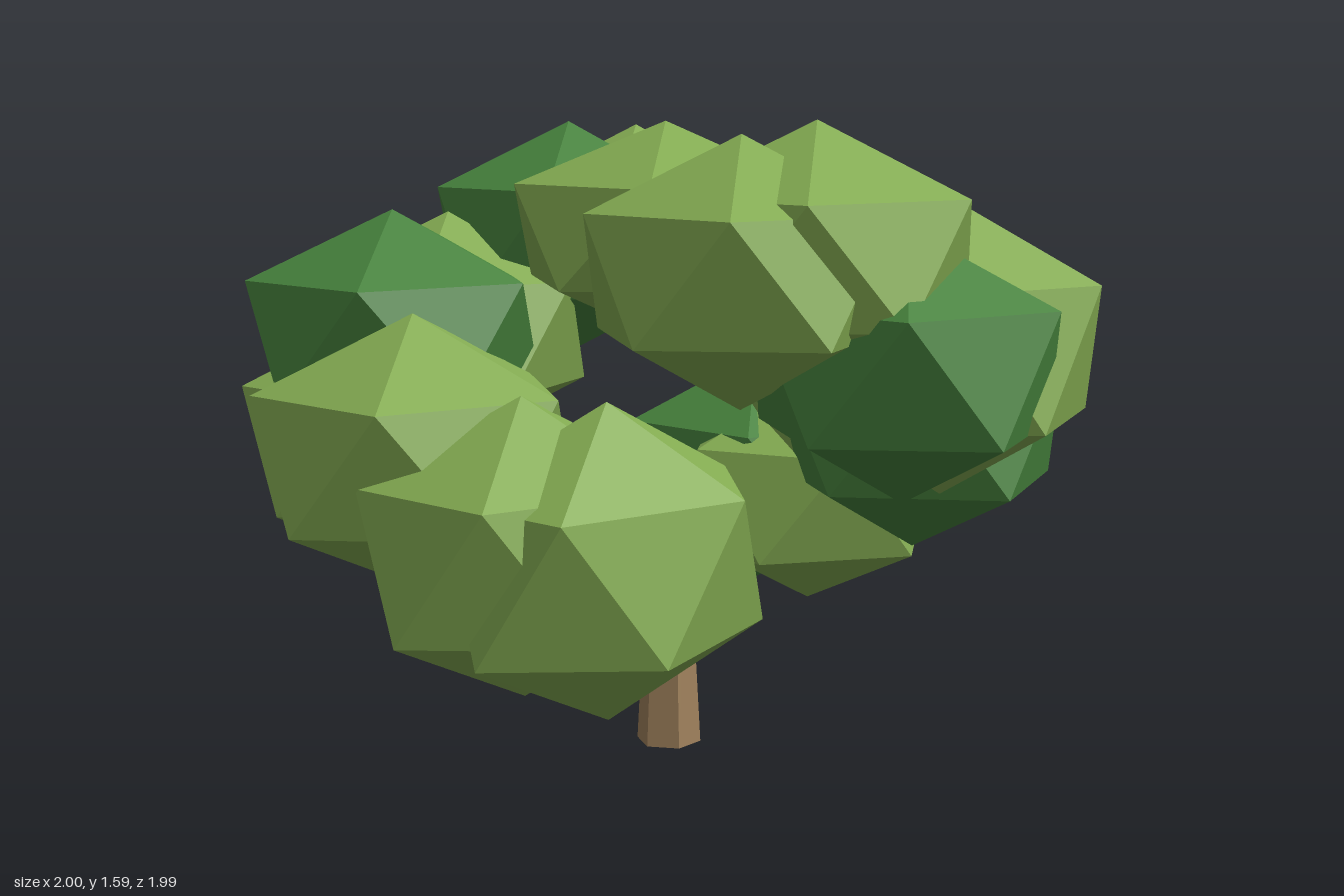
import * as THREE from 'three';

const mat = (name, color) => {
  const m = new THREE.MeshStandardMaterial({ color, flatShading: true });
  m.name = name;
  return m;
};

export function createModel() {
  const tree = new THREE.Group();
  tree.name = 'tree';
  const lightLeaf = mat('light leaf green', 0x84ac52);
  const darkLeaf = mat('dark leaf green', 0x47833d);
  const bark = mat('bark brown', 0x9f815c);

  // Tapered six-sided trunk, a flat side to the front
  const trunk = new THREE.Mesh(
    new THREE.CylinderGeometry(0.047, 0.083, 0.66, 6).rotateY(Math.PI / 6), bark);
  trunk.name = 'trunk';
  trunk.position.set(0, 0.33, -0.02);
  tree.add(trunk);

  // Leaf clump: icosahedron standing on a corner, flattened by its scale
  const clump = new THREE.IcosahedronGeometry(1, 0);
  clump.rotateZ(-Math.atan(2 / (1 + Math.sqrt(5))));

  const canopy = new THREE.Group();
  canopy.name = 'canopy';
  tree.add(canopy);
  const addClump = (name, material, x, y, z, rx, ry, rz = rx, turn = 0) => {
    const m = new THREE.Mesh(clump, material);
    m.name = name;
    m.position.set(x, y, z);
    m.scale.set(rx, ry, rz);
    m.rotation.y = turn;
    canopy.add(m);
  };

  // Crown
  addClump('crownMiddle', lightLeaf, -0.01, 1.31, -0.02, 0.42, 0.27);
  addClump('crownFront', lightLeaf, -0.08, 1.28, 0.5, 0.42, 0.31, 0.4);
  addClump('crownFrontRight', lightLeaf, -0.25, 1.25, 0.42, 0.4, 0.31);
  addClump('crownBackLeft', lightLeaf, 0.35, 1.25, -0.45, 0.4, 0.31, 0.37);
  addClump('crownBack', darkLeaf, 0.17, 1.26, -0.53, 0.4, 0.31, 0.39);

  // Middle ring
  addClump('frontLeft', lightLeaf, 0.28, 1.05, 0.61, 0.41, 0.36, 0.42);
  addClump('front', darkLeaf, 0.05, 1.03, 0.66, 0.4, 0.32);
  addClump('back', lightLeaf, -0.16, 1.03, -0.65, 0.4, 0.31);
  addClump('backRight', darkLeaf, -0.41, 1.05, -0.58, 0.41, 0.31);

  // Lower clumps on the left
  addClump('leftFront', darkLeaf, 0.56, 0.81, 0.34, 0.41, 0.34, 0.43);
  addClump('left', lightLeaf, 0.65, 0.81, 0.15, 0.395, 0.34, 0.4, 0.14);
  addClump('leftLow', lightLeaf, 0.565, 0.58, -0.01, 0.41, 0.31, 0.39, 0.31);
  addClump('leftBack', darkLeaf, 0.58, 0.61, -0.21, 0.4, 0.32);

  // Lower clumps on the right
  addClump('rightLow', lightLeaf, -0.5, 0.6, 0.24, 0.46, 0.37, 0.35);
  addClump('right', lightLeaf, -0.61, 0.63, 0.08, 0.435, 0.35, 0.39);
  addClump('rightMiddle', lightLeaf, -0.62, 0.81, -0.27, 0.425, 0.33);
  addClump('rightBack', lightLeaf, -0.5, 0.8, -0.5, 0.4, 0.32);

  return tree;
}
